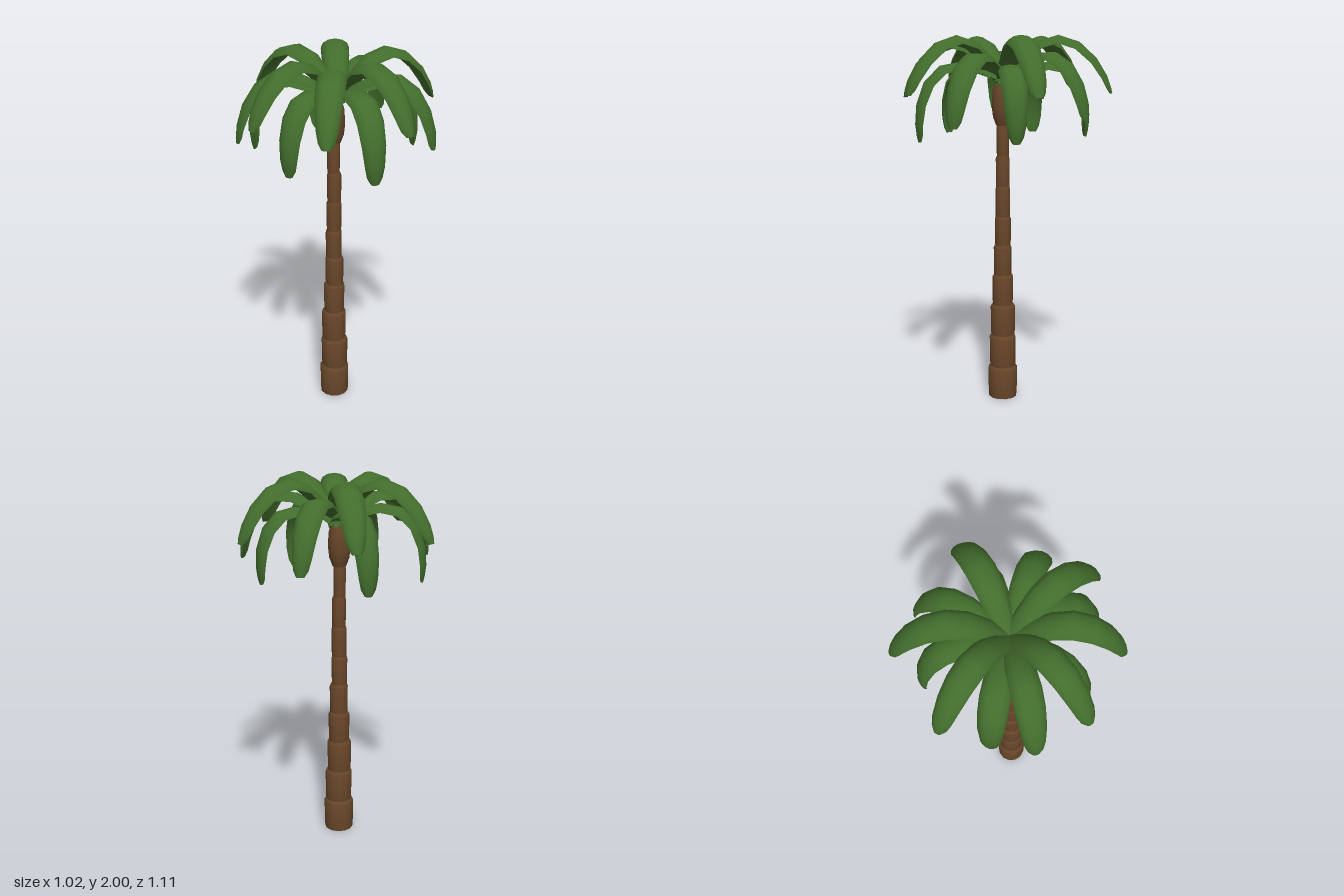
import * as THREE from 'three';
import { toCreasedNormals } from 'three/addons/utils/BufferGeometryUtils.js';

const v2 = (x, y) => new THREE.Vector2(x, y);

// Arched leaf running along +x: an inverted gutter swept along a crest curve.
function frondGeometry() {
  const crest = [[-0.02, -0.03], [0.07, 0.09], [0.17, 0.18], [0.28, 0.213], [0.39, 0.178],
    [0.48, 0.095], [0.535, 0.005], [0.556, -0.052], [0.564, -0.084]];
  const half = [0.036, 0.061, 0.07, 0.073, 0.071, 0.064, 0.053, 0.041, 0.022];
  const top = 7, under = 5, n = top + under;
  const pos = [], idx = [];
  crest.forEach(([x, y], i) => {
    const a = crest[Math.max(i - 1, 0)], b = crest[Math.min(i + 1, crest.length - 1)];
    const len = Math.hypot(b[0] - a[0], b[1] - a[1]);
    const nx = -(b[1] - a[1]) / len, ny = (b[0] - a[0]) / len;
    const w = half[i], drop = w * 0.6;
    const put = (z, d) => pos.push(x - nx * d, y - ny * d, z);
    for (let j = 0; j < top; j++) {
      const ang = (-1 + 2 * j / (top - 1)) * Math.PI / 2;
      put(Math.sin(ang) * w, drop * (1 - Math.cos(ang)));
    }
    const thick = Math.min(0.022, drop);
    for (let j = 1; j <= under; j++) {
      const ang = (1 - 2 * j / (under + 1)) * Math.PI / 2;
      put(Math.sin(ang) * w * 0.9, drop - (drop - thick) * Math.cos(ang));
    }
  });
  const last = crest.length - 1;
  for (let i = 0; i < last; i++) {
    for (let j = 0; j < n; j++) {
      const a = i * n + j, b = i * n + (j + 1) % n;
      idx.push(a, b, a + n, b, b + n, a + n);
    }
  }
  // End caps, stitched between the upper and lower arcs
  const cap = (o, flip) => {
    const tri = (a, b, c) => (flip ? idx.push(o + a, o + c, o + b) : idx.push(o + a, o + b, o + c));
    for (let j = 0; j < top - 1; j++) {
      const lo = (n - j) % n, hi = n - j - 1;
      tri(j, j + 1, hi);
      if (lo !== j) tri(j, hi, lo);
    }
  };
  cap(0, true);
  cap(last * n, false);
  const g = new THREE.BufferGeometry();
  g.setAttribute('position', new THREE.Float32BufferAttribute(pos, 3));
  g.setIndex(idx);
  return toCreasedNormals(g, 0.8);
}

export function createModel() {
  const model = new THREE.Group();
  model.name = 'palmTree';
  const bark = new THREE.MeshStandardMaterial({ color: 0x684629 });
  bark.name = 'bark';
  const leaf = new THREE.MeshStandardMaterial({ color: 0x436e2d, side: THREE.DoubleSide });
  leaf.name = 'leaf';
  const cx = -0.025, cz = 0.012;

  const turned = (name, points, parent) => {
    const mesh = new THREE.Mesh(toCreasedNormals(new THREE.LatheGeometry(points, 12), 0.6), bark);
    mesh.name = name;
    parent.add(mesh);
    return mesh;
  };

  // Trunk of stacked, narrowing segments with bevelled tops
  const trunk = new THREE.Group();
  trunk.name = 'trunk';
  trunk.position.set(cx, 0, cz);
  const radii = [0.082, 0.074, 0.068, 0.058, 0.05, 0.044, 0.041, 0.038, 0.034];
  const tops = [0, 0.18, 0.36, 0.535, 0.705, 0.87, 1.03, 1.195, 1.36, 1.53];
  radii.forEach((r, i) => {
    const y0 = tops[i], y1 = tops[i + 1];
    const seg = turned('trunkSegment', [v2(0, y0), v2(r * 0.95, y0), v2(r * 0.98, y0 + 0.02),
      v2(r, y1 - 0.015), v2(r * 0.88, y1), v2(0, y1)], trunk);
    seg.position.x = Math.sin(i * 2.1) * 0.002;
    seg.rotation.y = i * 0.7;
  });
  model.add(trunk);

  // Swollen crown bud beneath the leaves
  const bud = turned('crownBud', [v2(0, 1.52), v2(0.036, 1.525), v2(0.053, 1.57), v2(0.058, 1.61),
    v2(0.059, 1.66), v2(0.055, 1.71), v2(0.045, 1.745), v2(0, 1.765)], model);
  bud.position.set(cx, 0, cz);

  // Three tiers of fronds: base height, then [heading, downward tilt in degrees, size]
  const tiers = [
    { name: 'upperFrond', y: 1.785,
      fronds: [[255.5, 0, 1.01], [323, 0, 1], [40.5, 0, 1], [127.5, 0, 0.985], [207, 0, 0.995]] },
    { name: 'middleFrond', y: 1.775,
      fronds: [[9.5, 15, 1], [84, 2, 1], [156.5, 14, 1], [285.5, 13, 0.965]] },
    { name: 'lowerFrond', y: 1.78,
      fronds: [[55, 27, 1], [113, 28, 0.94], [182, 27, 0.99], [244, 27, 0.96], [332, 28, 0.92]] },
  ];
  const frond = frondGeometry();
  const crown = new THREE.Group();
  crown.name = 'crown';
  crown.position.set(-0.007, 0, -0.002);
  for (const { name, y, fronds } of tiers) {
    for (const [heading, tilt, size] of fronds) {
      const mesh = new THREE.Mesh(frond, leaf);
      mesh.name = name;
      mesh.position.y = y;
      mesh.rotation.set(0, -THREE.MathUtils.degToRad(heading), -THREE.MathUtils.degToRad(tilt));
      mesh.scale.setScalar(size);
      crown.add(mesh);
    }
  }
  model.add(crown);
  return model;
}
